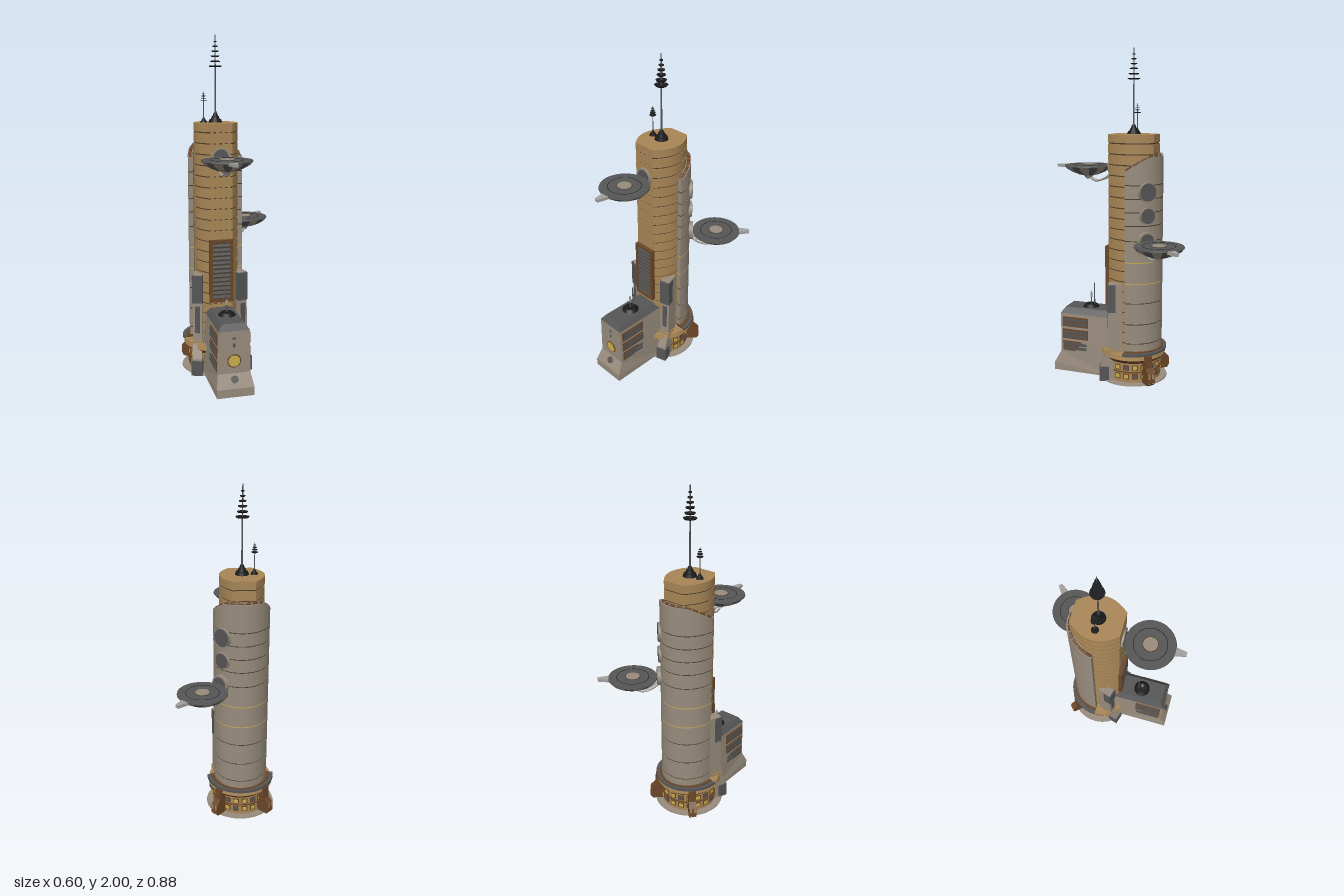
import * as THREE from 'three';
import { toCreasedNormals } from 'three/addons/utils/BufferGeometryUtils.js';

const paint = (name, color, side = THREE.FrontSide) => {
  const m = new THREE.MeshStandardMaterial({ color, side });
  m.name = name;
  return m;
};

export function createModel() {
  const tan = paint('tan', 0xa88656), stone = paint('stone', 0x978b7c), dark = paint('darkGrey', 0x555555);
  const brown = paint('brown', 0x6b4628), black = paint('black', 0x1a1a1a), gold = paint('gold', 0xc8b04a);
  const light = paint('lightGrey', 0xa2a09c), seam = paint('seam', 0x4a3d2c);

  const model = new THREE.Group();
  model.name = 'tower';
  const tower = new THREE.Group();
  tower.name = 'towerBody';
  tower.position.set(-0.09, 0, -0.06);
  model.add(tower);

  // Helpers
  const add = (parent, name, geo, mat, x = 0, y = 0, z = 0) => {
    const m = new THREE.Mesh(geo, mat);
    m.name = name;
    m.position.set(x, y, z);
    parent.add(m);
    return m;
  };
  const group = (parent, name, x, y, z, ry = 0) => {
    const g = new THREE.Group();
    g.name = name;
    g.position.set(x, y, z);
    g.rotation.y = ry;
    parent.add(g);
    return g;
  };
  const box = (p, name, w, h, d, mat, x, y, z) => add(p, name, new THREE.BoxGeometry(w, h, d), mat, x, y, z);
  const cyl = (p, name, rt, rb, y0, y1, mat, x = 0, z = 0, n = 32) =>
    add(p, name, new THREE.CylinderGeometry(rt, rb, y1 - y0, n), mat, x, (y0 + y1) / 2, z);
  const bend = (geo, rule) => {
    const p = geo.attributes.position, v = new THREE.Vector3();
    for (let i = 0; i < p.count; i++) {
      rule(v.fromBufferAttribute(p, i));
      p.setXYZ(i, v.x, v.y, v.z);
    }
    geo.computeVertexNormals();
    return geo;
  };
  // plan outline (x, -z) raised from y0 to y1
  const raise = (shape, y0, y1, rule) => {
    const g = new THREE.ExtrudeGeometry(shape, { depth: y1 - y0, bevelEnabled: false, curveSegments: 24 });
    g.rotateX(-Math.PI / 2).translate(0, y0, 0);
    return toCreasedNormals(rule ? bend(g, rule) : g, 0.5);
  };
  // side profile (z, y) extruded across x
  const sideways = (pts, w) => {
    const s = new THREE.Shape(pts.map(([a, b]) => new THREE.Vector2(a, b)));
    return new THREE.ExtrudeGeometry(s, { depth: w, bevelEnabled: false }).translate(0, 0, -w / 2).rotateY(-Math.PI / 2);
  };

  // Banded core: flat front and back, bowed sides
  const coreShape = (k) => {
    const s = new THREE.Shape();
    s.moveTo(-0.07 * k, -0.136 * k);
    s.lineTo(0.07 * k, -0.136 * k);
    s.bezierCurveTo(0.15 * k, -0.045 * k, 0.15 * k, 0.045 * k, 0.065 * k, 0.144 * k);
    s.lineTo(-0.065 * k, 0.144 * k);
    s.bezierCurveTo(-0.15 * k, 0.045 * k, -0.15 * k, -0.045 * k, -0.07 * k, -0.136 * k);
    return s;
  };
  add(tower, 'coreSeams', raise(coreShape(0.97), 0.1, 1.49), seam);
  add(tower, 'coreCrown', raise(coreShape(1), 1.452, 1.5), tan);
  for (let i = 0; i < 20; i++) {
    const top = 1.445 - i * 0.0635;
    add(tower, 'coreBand', raise(coreShape(1), top - 0.0565, top), tan);
    for (const x of [-0.05, -0.017, 0.017, 0.05]) box(tower, 'bandClip', 0.018, 0.007, 0.006, tan, x, top + 0.0035, 0.133);
  }

  // Rear shell: half-ring panels with a sloping top edge
  const rimY = (z) => Math.min(1.375, 1.29 + Math.max(0, -z) * 0.6);
  const shellShape = (a, b, t) => {
    const s = new THREE.Shape();
    s.absellipse(0, 0, a, b, 0, Math.PI, false);
    s.lineTo(-a + t, 0);
    s.absellipse(0, 0, a - t, b - t, Math.PI, 0, true);
    return s;
  };
  const levels = [0.2, 0.25, 0.37, 0.5, 0.62, 0.75, 0.88, 0.97, 1.05, 1.13, 1.21, 1.4];
  for (let i = 0; i < levels.length - 1; i++) {
    const y0 = levels[i] + 0.003, y1 = levels[i + 1] - 0.003, last = i === levels.length - 2;
    add(tower, 'shellPanel', raise(shellShape(0.164, 0.18, 0.028), y0, y1,
      last ? (v) => { if (v.y > 1.3) v.y = rimY(v.z); } : null), stone);
    const glow = levels[i] === 0.62 || levels[i] === 0.75;
    add(tower, 'shellSeam', raise(shellShape(0.162, 0.178, 0.026), levels[i] - 0.003, levels[i] + 0.003), glow ? gold : seam);
  }
  // Rail along the shell rim
  const railPts = [];
  for (let i = 0; i <= 24; i++) {
    const a = (i / 24) * Math.PI, z = -0.163 * Math.sin(a);
    railPts.push(new THREE.Vector3(0.15 * Math.cos(a), rimY(z) + 0.004, z));
    if (i % 2 === 0) {
      const b = box(tower, 'railClip', 0.026, 0.016, 0.006, stone, railPts[i].x, railPts[i].y, z);
      b.rotation.y = a;
    }
  }
  add(tower, 'rimRail', new THREE.TubeGeometry(new THREE.CatmullRomCurve3(railPts), 48, 0.009, 6), brown);
  // Round ports facing the rear diagonal
  for (const [y, r] of [[1.17, 0.053], [1.03, 0.045]]) {
    const g = group(tower, 'shellPort', 0.117, y, -0.125, Math.PI * 0.75);
    add(g, 'portRim', new THREE.CylinderGeometry(r + 0.005, r + 0.005, 0.02, 28).rotateX(Math.PI / 2), stone);
    add(g, 'portGlass', new THREE.CylinderGeometry(r, r, 0.026, 28).rotateX(Math.PI / 2), dark);
  }

  // Base: plate, windowed drum, collar, rear collar trim
  cyl(tower, 'basePlate', 0.21, 0.212, 0, 0.007, stone, 0, 0, 48);
  cyl(tower, 'baseDrum', 0.17, 0.17, 0.007, 0.135, tan, 0, 0, 48);
  cyl(tower, 'drumBand', 0.174, 0.174, 0.068, 0.076, brown, 0, 0, 48);
  cyl(tower, 'collarFlare', 0.198, 0.176, 0.13, 0.155, brown, 0, 0, 48);
  cyl(tower, 'collar', 0.194, 0.2, 0.155, 0.185, tan, 0, 0, 48);
  add(tower, 'collarTrim', raise(shellShape(0.207, 0.207, 0.025), 0.182, 0.197), dark);
  add(tower, 'shellFoot', raise(shellShape(0.18, 0.19, 0.04), 0.185, 0.202), brown);
  for (let i = 0; i < 20; i++) {
    const a = (i / 20) * Math.PI * 2 + 0.08;
    for (const y of [0.045, 0.1]) {
      const g = group(tower, 'drumWindow', Math.sin(a) * 0.169, y, Math.cos(a) * 0.169, a);
      box(g, 'windowFrame', 0.036, 0.034, 0.008, brown, 0, 0, 0);
      box(g, 'windowPane', 0.026, 0.022, 0.008, (i + (y > 0.06)) % 3 ? gold : dark, 0, 0, 0.002);
    }
  }
  // Rear diagonal legs
  for (const s of [-1, 1]) {
    const g = group(tower, 'rearLeg', 0, 0, 0, s * Math.PI * 0.75);
    add(g, 'legBody', sideways([[0.15, 0.007], [0.235, 0.007], [0.25, 0.03], [0.245, 0.08], [0.215, 0.11], [0.21, 0.18], [0.15, 0.18]], 0.045), brown);
    box(g, 'legRib', 0.012, 0.06, 0.01, tan, -0.012, 0.05, 0.243);
    box(g, 'legRib', 0.012, 0.06, 0.01, tan, 0.012, 0.05, 0.243);
  }

  // Front side buttresses
  for (const s of [-1, 1]) {
    const g = group(tower, 'buttress', s * 0.105, 0, 0.0, s * 0.3);
    add(g, 'buttressBody', sideways([[0.03, 0], [0.165, 0], [0.165, 0.1], [0.125, 0.2], [0.115, 0.45], [0.115, 0.61], [0.03, 0.61]], 0.058), stone);
    box(g, 'buttressPanel', 0.064, 0.17, 0.05, dark, 0, 0.52, 0.097);
    box(g, 'buttressSlot', 0.03, 0.19, 0.012, dark, 0, 0.32, 0.117);
    box(g, 'buttressToe', 0.066, 0.09, 0.06, dark, 0, 0.045, 0.142);
    box(g, 'buttressBand', 0.068, 0.03, 0.07, tan, 0, 0.185, 0.095);
  }

  // Louvred front panel
  const panel = group(tower, 'louvrePanel', 0, 0.635, 0.143);
  box(panel, 'panelBacking', 0.13, 0.36, 0.016, seam, 0, 0, 0);
  for (const s of [-1, 1]) {
    box(panel, 'panelPost', 0.018, 0.375, 0.028, brown, s * 0.063, 0, 0);
    box(panel, 'panelRail', 0.144, 0.018, 0.028, brown, 0, s * 0.179, 0);
  }
  for (let i = 0; i < 13; i++) box(panel, 'panelSlat', 0.108, 0.016, 0.008, dark, 0, -0.156 + i * 0.026, 0.008).rotation.x = -0.3;

  // Front annex with sloped toe, flared foot and chamfered roof
  add(tower, 'annexBody', bend(sideways([[0.1, 0], [0.49, 0], [0.49, 0.05], [0.45, 0.125], [0.45, 0.375], [0.1, 0.375]], 0.18),
    (v) => { if (v.y < 0.2) v.x *= v.y > 0.1 ? 1.06 : 1.2; }), stone);
  add(tower, 'annexRoof', bend(new THREE.BoxGeometry(0.182, 0.036, 0.34).toNonIndexed(), (v) => {
    if (v.y > 0) { v.x *= 0.72; if (v.z > 0) v.z -= 0.025; }
  }), dark, 0, 0.392, 0.282);
  for (const s of [-1, 1]) {
    for (const y of [0.322, 0.243, 0.165]) {
      box(tower, 'annexBay', 0.012, 0.062, 0.17, brown, s * 0.092, y, 0.35);
      for (const d of [-0.013, 0.013]) box(tower, 'annexSlat', 0.012, 0.018, 0.154, dark, s * 0.096, y + d, 0.35);
    }
  }
  add(tower, 'annexLamp', new THREE.CylinderGeometry(0.034, 0.034, 0.008, 28).rotateX(Math.PI / 2), gold, 0, 0.2, 0.452);
  add(tower, 'lampRing', new THREE.TorusGeometry(0.036, 0.004, 6, 28), brown, 0, 0.2, 0.453);
  add(tower, 'toeVent', new THREE.CylinderGeometry(0.022, 0.022, 0.008, 8).rotateX(Math.PI / 2 - 0.49), dark, 0, 0.095, 0.467);
  box(tower, 'annexSlot', 0.012, 0.02, 0.006, dark, 0, 0.29, 0.451);
  box(tower, 'annexSlot', 0.018, 0.01, 0.006, dark, 0, 0.33, 0.451);
  cyl(tower, 'annexMastBase', 0.035, 0.052, 0.41, 0.428, black, 0, 0.28);
  cyl(tower, 'annexMast', 0.003, 0.004, 0.42, 0.565, dark, 0, 0.257, 8);
  cyl(tower, 'annexMast', 0.003, 0.004, 0.42, 0.51, dark, 0, 0.28, 8);
  cyl(tower, 'mastSleeve', 0.007, 0.007, 0.47, 0.5, light, 0, 0.28, 8);

  // Landing dishes on curved twin arms; local +z points away from the tower
  const dish = (name, x, y, z, ry) => {
    const g = group(tower, name, x, y, z, ry);
    const profile = [[0.025, -0.06], [0.06, -0.052], [0.1, -0.036], [0.13, -0.018], [0.145, 0]].map((p) => new THREE.Vector2(...p));
    for (let i = 0; i < 16; i++)
      add(g, 'dishSector', new THREE.LatheGeometry(profile, 3, (i * Math.PI) / 8, Math.PI / 8), i % 2 ? dark : stone);
    cyl(g, 'dishDeck', 0.143, 0.145, -0.001, 0.007, dark, 0, 0, 48);
    add(g, 'deckRing', new THREE.TorusGeometry(0.095, 0.0015, 4, 48).rotateX(Math.PI / 2), black, 0, 0.007, 0);
    cyl(g, 'deckRingInner', 0.045, 0.045, 0.004, 0.009, seam);
    cyl(g, 'deckCentre', 0.041, 0.041, 0.004, 0.011, stone);
    cyl(g, 'dishHub', 0.032, 0.014, -0.08, -0.054, light, 0, 0, 16);
    const lip = new THREE.Shape([[-0.026, -0.135], [0.026, -0.135], [0.011, -0.205], [-0.011, -0.205]].map((p) => new THREE.Vector2(...p)).reverse());
    add(g, 'dishLip', raise(lip, -0.012, 0.006), light);
    for (const s of [-1, 1]) {
      const path = new THREE.CatmullRomCurve3([[0.008, -0.065, 0], [0.014, -0.088, -0.05], [0.016, -0.075, -0.105], [0.018, -0.03, -0.165]]
        .map(([a, b, c]) => new THREE.Vector3(a * s, b, c)));
      add(g, 'dishArm', new THREE.TubeGeometry(path, 20, 0.006, 8), light);
    }
    add(g, 'armPort', new THREE.CylinderGeometry(0.056, 0.056, 0.024, 28).rotateX(Math.PI / 2), stone, 0, 0.005, -0.156);
    add(g, 'armPortFace', new THREE.CylinderGeometry(0.045, 0.045, 0.028, 28).rotateX(Math.PI / 2), dark, 0, 0.005, -0.156);
  };
  dish('frontDish', 0, 1.303, 0.291, 0);
  dish('rearDish', 0.239, 0.877, -0.234, Math.PI * 0.75);

  // Roof antennas with stacked discs
  const antenna = (name, x, top, r, discs) => {
    const g = group(tower, name, x, 1.5, 0);
    cyl(g, 'antennaBase', r * 0.85, r, 0, r * 0.45, black, 0, 0, 24);
    cyl(g, 'antennaStep', r * 0.5, r * 0.65, r * 0.45, r * 0.9, black, 0, 0, 24);
    cyl(g, 'antennaCap', r * 0.25, r * 0.4, r * 0.9, r * 1.4, black, 0, 0, 24);
    cyl(g, 'antennaPole', r * 0.07, r * 0.15, 0, top, dark, 0, 0, 10);
    discs.forEach(([y, d]) => cyl(g, 'antennaDisc', d, d * 0.85, y - r * 0.08, y + r * 0.08, black, 0, 0, 20));
  };
  antenna('mainAntenna', 0, 0.5, 0.04, [[0.322, 0.039], [0.35, 0.031], [0.38, 0.026], [0.408, 0.021], [0.435, 0.015], [0.462, 0.01]]);
  antenna('smallAntenna', -0.07, 0.18, 0.021, [[0.125, 0.02], [0.14, 0.016], [0.153, 0.012], [0.166, 0.008]]);
  return model;
}
